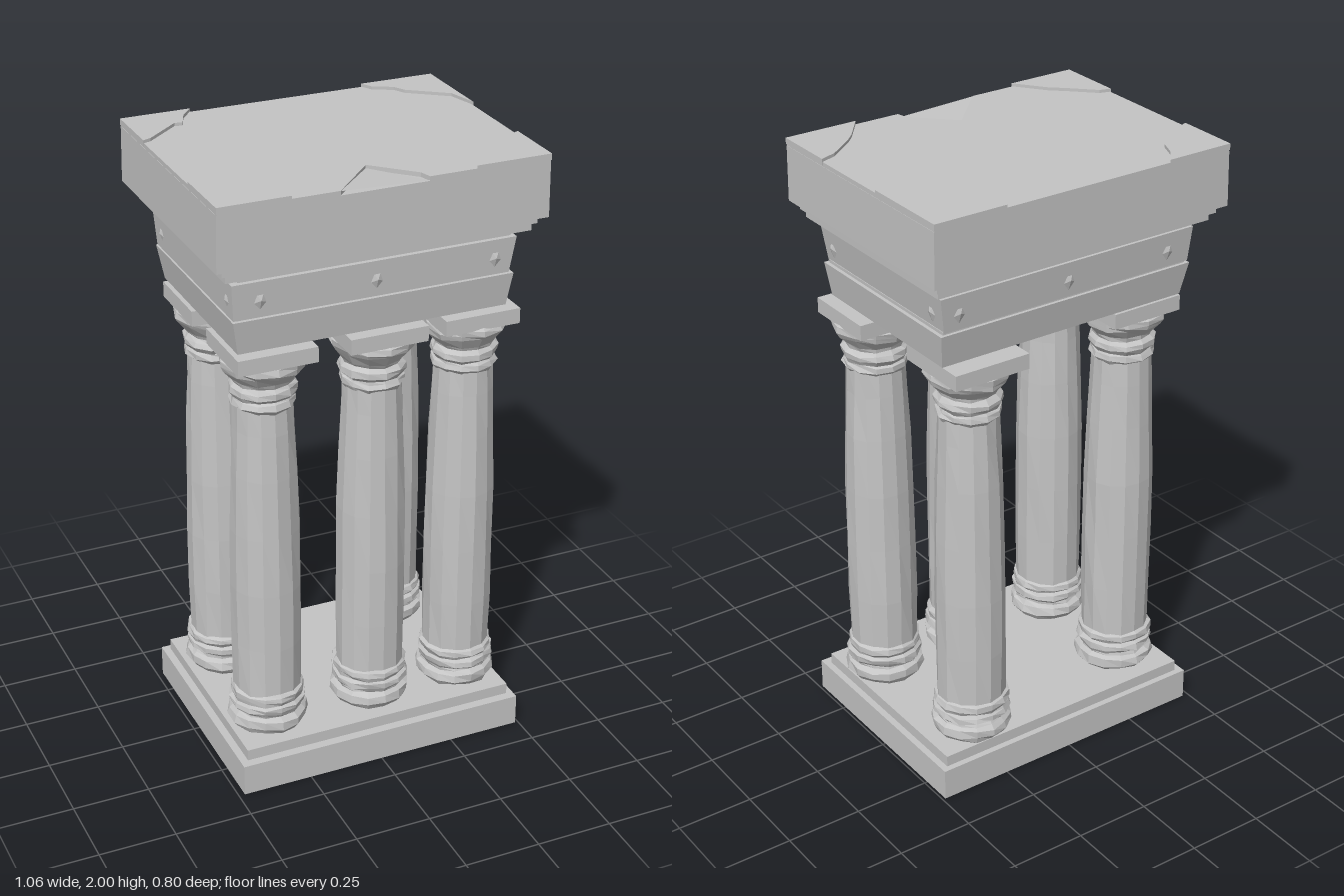
import * as THREE from 'three';

const stone = new THREE.MeshStandardMaterial({ color: 0xc4c4c4, flatShading: true });

// Repeatable wobble in -1..1
const wobble = (a, b, c) => {
  const s = Math.sin(a * 12.9898 + b * 78.233 + c * 37.719) * 43758.5453;
  return 2 * (s - Math.floor(s)) - 1;
};

function add(parent, name, geometry) {
  const mesh = new THREE.Mesh(geometry, stone);
  mesh.name = name;
  parent.add(mesh);
  return mesh;
}

// Block between two heights; bottom and top edges may differ: [x0, x1, z0, z1]
function slab(parent, name, y0, y1, bottom, top = bottom) {
  const geo = new THREE.BoxGeometry(1, 1, 1);
  const p = geo.attributes.position;
  for (let i = 0; i < p.count; i++) {
    const up = p.getY(i) > 0;
    const e = up ? top : bottom;
    p.setXYZ(i, e[p.getX(i) > 0 ? 1 : 0], up ? y1 : y0, e[p.getZ(i) > 0 ? 3 : 2]);
  }
  return add(parent, name, geo);
}

// Turned piece with chipped, uneven rings
function turned(parent, name, profile, sides, rough, seed) {
  const geo = new THREE.LatheGeometry(profile.map(([r, y]) => new THREE.Vector2(r, y)), sides);
  const p = geo.attributes.position;
  const n = profile.length;
  for (let i = 0; i < p.count; i++) {
    const ring = i % n, side = Math.floor(i / n) % sides;
    const k = 1 + rough * wobble(ring, side, seed);
    p.setX(i, p.getX(i) * k);
    p.setZ(i, p.getZ(i) * k);
    if (ring > 0 && ring < n - 1 && profile[ring][0] > 0)
      p.setY(i, p.getY(i) + rough * 0.1 * wobble(side, ring, seed + 5));
  }
  return add(parent, name, geo);
}

const BASE = [[0, 0.135], [0.115, 0.145], [0.129, 0.165], [0.127, 0.19], [0.112, 0.2], [0.112, 0.208],
  [0.124, 0.22], [0.123, 0.238], [0.113, 0.245], [0.121, 0.258], [0.119, 0.275], [0.105, 0.285], [0, 0.286]];
const SHAFT = [[0, 0.27], [0.11, 0.271], [0.112, 0.45], [0.112, 0.65], [0.11, 0.85], [0.104, 1.05],
  [0.097, 1.2], [0.093, 1.3], [0, 1.31]];
const CAPITAL = [[0, 1.27], [0.092, 1.275], [0.104, 1.29], [0.1, 1.306], [0.095, 1.312], [0.107, 1.328],
  [0.105, 1.345], [0.093, 1.357], [0.098, 1.37], [0.126, 1.402], [0.134, 1.418], [0.132, 1.436], [0.12, 1.445], [0, 1.446]];

function column(name, x, z, seed, abacusWidth) {
  const g = new THREE.Group();
  g.name = name;
  g.position.set(x, 0, z);
  turned(g, 'columnBase', BASE, 14, 0.035, seed);
  turned(g, 'shaft', SHAFT, 14, 0.02, seed + 1);
  turned(g, 'capital', CAPITAL, 12, 0.035, seed + 2);
  const h = abacusWidth / 2;
  slab(g, 'abacus', 1.438, 1.488, [-h, h, -h, h]);
  return g;
}

// Flat piece in the x-z plane with its top at the given height
function plate(parent, name, points, y0, y1) {
  const shape = new THREE.Shape(points.map(([x, z]) => new THREE.Vector2(x, -z)));
  const geo = new THREE.ExtrudeGeometry(shape, { depth: y1 - y0, bevelEnabled: false });
  geo.rotateX(-Math.PI / 2).translate(0, y0, 0);
  return add(parent, name, geo);
}

export function createModel() {
  const model = new THREE.Group();
  model.name = 'columnShrine';

  // Stepped floor
  slab(model, 'lowerStep', 0, 0.105, [-0.48, 0.49, -0.355, 0.4]);
  slab(model, 'upperStep', 0.105, 0.142, [-0.455, 0.468, -0.335, 0.37]);

  // Three columns in front, two behind
  [
    ['frontRightColumn', -0.32, 0.21, 1, 0.255],
    ['frontMiddleColumn', 0.04, 0.21, 11, 0.255],
    ['frontLeftColumn', 0.353, 0.21, 21, 0.25],
    ['backRightColumn', -0.32, -0.17, 31, 0.25],
    ['backLeftColumn', 0.3, -0.225, 41, 0.26],
  ].forEach((c) => model.add(column(...c)));

  // Beam, frieze and mouldings
  slab(model, 'beam', 1.497, 1.605, [-0.437, 0.44, -0.3, 0.31], [-0.455, 0.455, -0.32, 0.325]);
  slab(model, 'friezeGroove', 1.6, 1.615, [-0.443, 0.443, -0.31, 0.313]);
  slab(model, 'frieze', 1.61, 1.725, [-0.453, 0.44, -0.312, 0.322], [-0.46, 0.458, -0.325, 0.33]);
  slab(model, 'neckMoulding', 1.72, 1.752, [-0.435, 0.445, -0.31, 0.315]);
  slab(model, 'lowerMoulding', 1.75, 1.777, [-0.49, 0.49, -0.36, 0.36]);
  slab(model, 'upperMoulding', 1.775, 1.802, [-0.505, 0.503, -0.375, 0.372]);

  // Shallow star-shaped chips round the frieze
  const chip = (x, z, turn) => {
    const geo = new THREE.ConeGeometry(0.035, 0.012, 5);
    geo.rotateX(Math.PI / 2).scale(0.8, 1, 1).rotateY(turn);
    add(model, 'friezeChip', geo).position.set(x, 1.665, z);
  };
  [-0.37, 0, 0.39].forEach((x) => {
    chip(x, 0.328, 0);
    chip(x, -0.32, Math.PI);
  });
  [-0.26, 0.28].forEach((z) => {
    chip(0.45, z, Math.PI / 2);
    chip(-0.457, z, -Math.PI / 2);
  });

  // Roof block with a worn middle and a broken notch in the front edge
  slab(model, 'roofBlock', 1.8, 1.976, [-0.53, 0.526, -0.398, 0.398], [-0.526, 0.524, -0.398, 0.398]);
  plate(model, 'wornRoofTop', [[-0.525, -0.398], [0.523, -0.398], [0.523, 0.398], [0.13, 0.398],
    [0.12, 0.36], [0, 0.24], [-0.15, 0.398], [-0.525, 0.398]], 1.975, 1.99);
  const slope = new THREE.BufferGeometry();
  slope.setAttribute('position', new THREE.Float32BufferAttribute(
    [-0.15, 1.989, 0.398, 0.13, 1.978, 0.398, 0, 1.98, 0.24], 3));
  slope.computeVertexNormals();
  add(model, 'roofNotch', slope);

  // Unworn corners standing slightly proud
  const corner = (sx, sz, pts) => plate(model, 'roofCorner',
    (sx * sz > 0 ? pts : pts.slice().reverse()).map(([x, z]) => [sx * x, sz * z]), 1.98, 2);
  corner(-1, -1, [[0.527, 0.4], [0.3, 0.4], [0.34, 0.35], [0.365, 0.29], [0.39, 0.295], [0.5, 0.2], [0.527, 0.19]]);
  corner(1, -1, [[0.525, 0.4], [0.28, 0.4], [0.3, 0.36], [0.36, 0.33], [0.38, 0.29], [0.5, 0.2], [0.525, 0.1]]);
  corner(1, 1, [[0.525, 0.4], [0.28, 0.4], [0.35, 0.31], [0.38, 0.28], [0.47, 0.21], [0.525, 0.19]]);
  corner(-1, 1, [[0.527, 0.4], [0.3, 0.4], [0.375, 0.3], [0.41, 0.27], [0.49, 0.19], [0.527, 0.18]]);

  return model;
}
